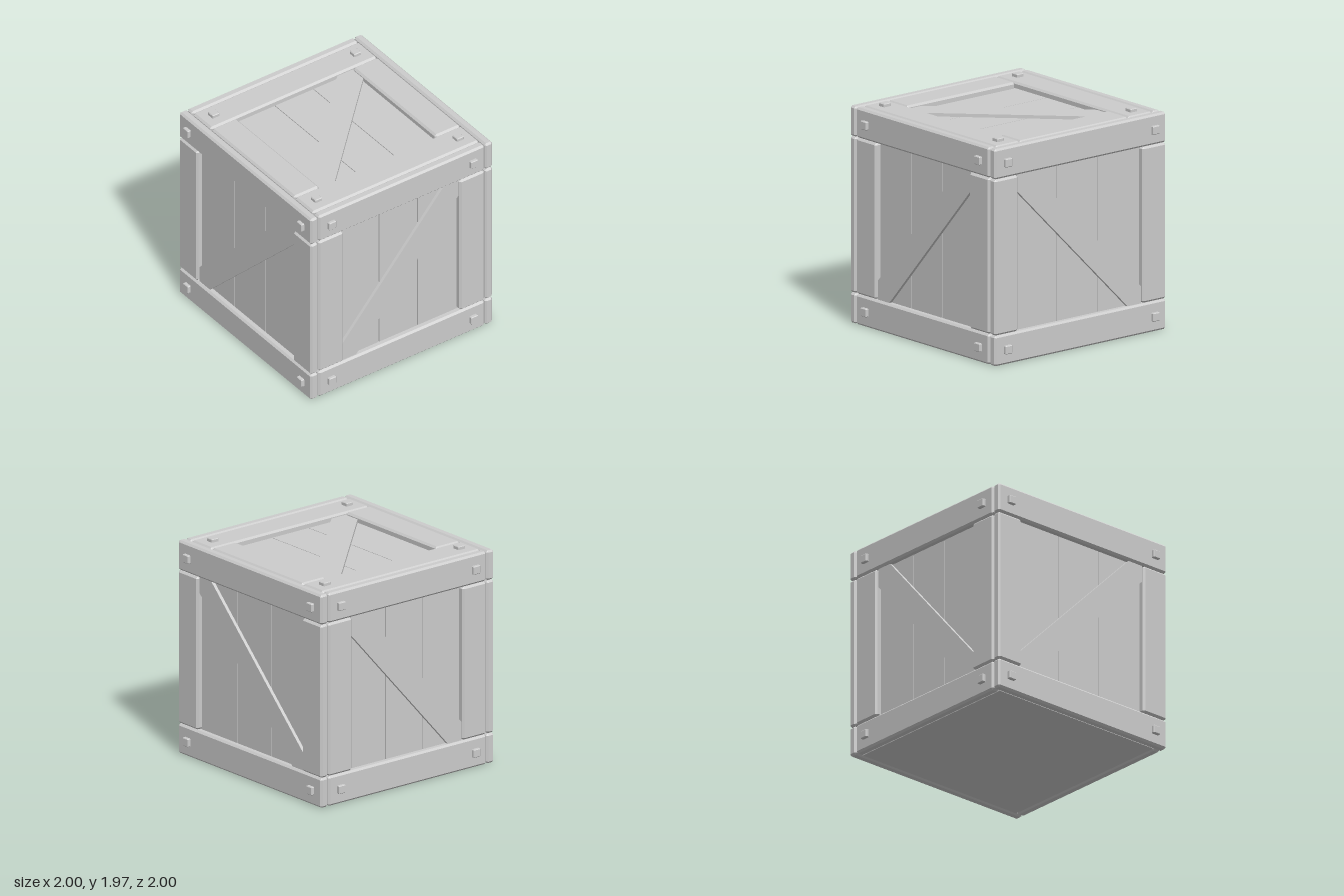
import * as THREE from 'three';
import { ConvexGeometry } from 'three/addons/geometries/ConvexGeometry.js';

const HALF = 0.97; // half size of the crate without its bolts
const wood = new THREE.MeshStandardMaterial({ color: 0xcccccc });
wood.name = 'grey wood';

// Box with flat chamfers on all edges
function chamferBox(w, h, d, c) {
  const pts = [];
  for (const x of [-1, 1]) for (const y of [-1, 1]) for (const z of [-1, 1]) {
    const [a, b, e] = [w / 2, h / 2, d / 2];
    pts.push(new THREE.Vector3(x * a, y * (b - c), z * (e - c)));
    pts.push(new THREE.Vector3(x * (a - c), y * b, z * (e - c)));
    pts.push(new THREE.Vector3(x * (a - c), y * (b - c), z * e));
  }
  return new ConvexGeometry(pts);
}

function add(parent, name, geometry, x = 0, y = 0, z = 0) {
  const mesh = new THREE.Mesh(geometry, wood);
  mesh.name = name;
  mesh.position.set(x, y, z);
  parent.add(mesh);
  return mesh;
}

// One framed panel in its local xy plane, facing local z times side
function panel(name, side, p) {
  const g = new THREE.Group();
  g.name = name;

  // Rails run the full width, stiles stand between them
  const frameZ = side * (HALF - 0.04);
  for (const s of [-1, 1]) {
    add(g, 'rail', chamferBox(p.outU * 2, p.outV - p.inV, 0.08, 0.017),
      0, s * (p.outV + p.inV) / 2, frameZ);
    add(g, 'stile', chamferBox(p.outU - p.inU, p.inV * 2 - 0.008, 0.08, 0.017),
      s * (p.outU + p.inU) / 2, 0, frameZ);
  }

  // Three recessed planks with narrow seams
  const edge = p.inU + 0.05;
  const cuts = [-edge, -p.seam, p.seam, edge];
  for (let i = 0; i < 3; i++) {
    const w = cuts[i + 1] - cuts[i] - 0.006;
    add(g, 'plank', new THREE.BoxGeometry(w, p.inV * 2 + 0.1, 0.04),
      (cuts[i] + cuts[i + 1]) / 2, 0, side * 0.895);
  }

  // Diagonal brace trimmed to the corners of the frame
  const { inU: u, inV: v, cutU, cutV, lean } = p;
  const outline = [[-u, -v], [-u + cutU, -v], [u, v - cutV], [u, v], [u - cutU, v], [-u, -v + cutV]];
  const shape = new THREE.Shape(outline.map(([x, y]) => new THREE.Vector2(x * lean, y)));
  add(g, 'diagonalBrace', new THREE.ExtrudeGeometry(shape, { depth: 0.04, bevelEnabled: false }),
    0, 0, side * 0.925 - 0.02);

  // Square bolt heads
  for (const x of [-1, 1]) for (const y of [-1, 1]) {
    add(g, 'bolt', chamferBox(0.075, 0.075, 0.05, 0.006), x * p.boltU, y * p.boltV, side * 0.975);
  }
  g.position.y = HALF;
  return g;
}

export function createModel() {
  const crate = new THREE.Group();
  crate.name = 'crate';

  // Solid inner body, also forming the plain underside
  add(crate, 'innerBody', new THREE.BoxGeometry(1.775, 1.85, 1.775), 0, 0.933, 0);

  const front = { outU: 0.885, inU: 0.62, outV: HALF, inV: 0.7, seam: 0.205,
    cutU: 0.15, cutV: 0.17, lean: 1, boltU: 0.755, boltV: 0.835 };
  const flank = { outU: HALF, inU: 0.705, outV: HALF, inV: 0.7, seam: 0.232,
    cutU: 0.155, cutV: 0.15, lean: -1, boltU: 0.835, boltV: 0.835 };
  const lid = { ...front, outV: 0.885, inV: 0.615, cutU: 0.16, cutV: 0.16, boltV: 0.755 };

  crate.add(panel('frontPanel', 1, front), panel('backPanel', -1, front));

  for (const side of [1, -1]) {
    const g = panel(side > 0 ? 'leftPanel' : 'rightPanel', side, flank);
    // Local x becomes -z, so the negative lean rises toward the front
    g.rotation.y = Math.PI / 2;
    crate.add(g);
  }

  const top = panel('topPanel', 1, lid);
  top.rotation.x = -Math.PI / 2;
  crate.add(top);

  return crate;
}
